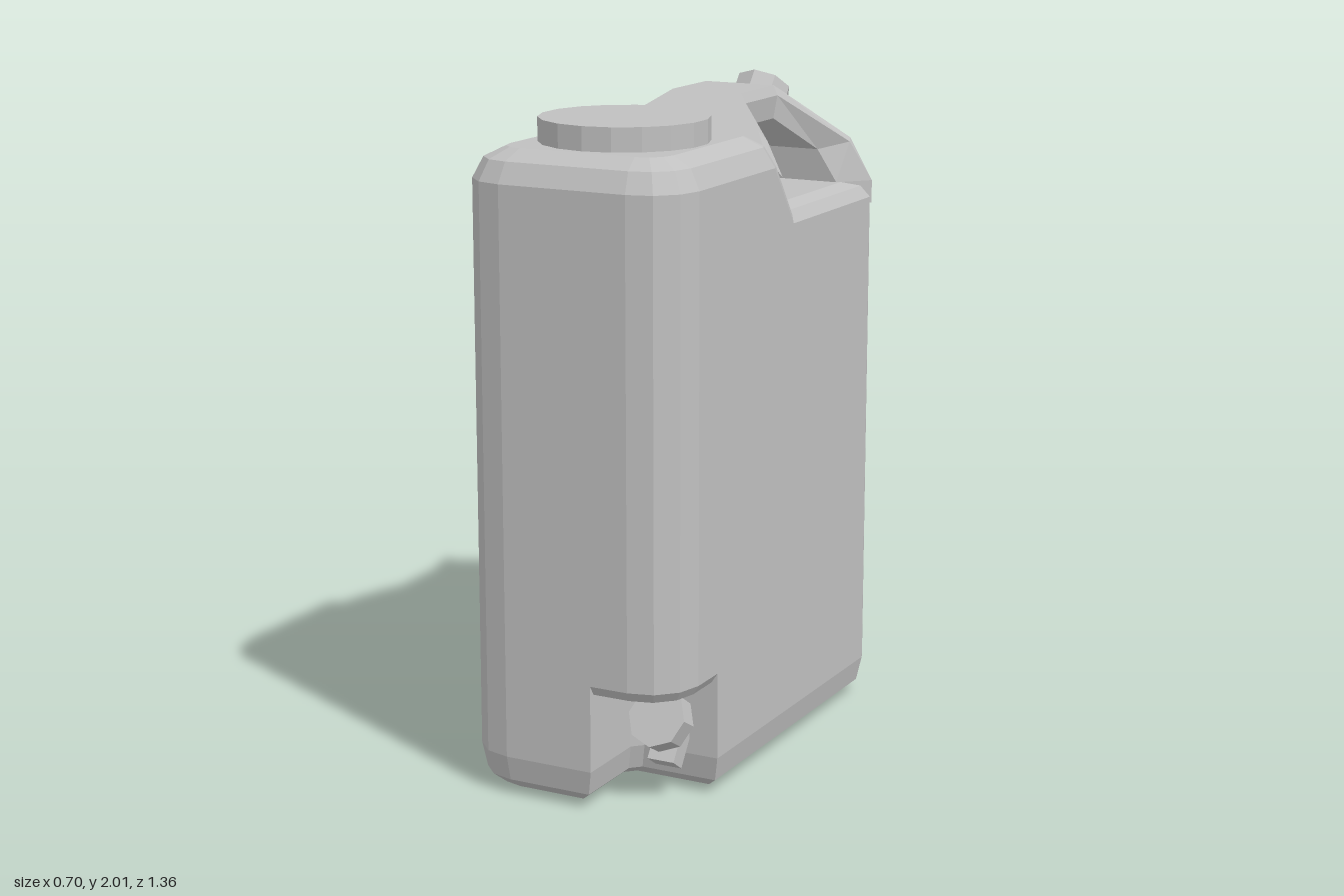
import * as THREE from 'three';

const plastic = new THREE.MeshStandardMaterial({ color: 0xc0c0c0 });
plastic.name = 'grey plastic';

// Faceted skin through rings of equal length, with optional flat ends
function loft(rings, capped = true) {
  const pos = [];
  const tri = (...pts) => pts.forEach((p) => pos.push(p.x, p.y, p.z));
  for (let k = 0; k < rings.length - 1; k++) {
    const a = rings[k], b = rings[k + 1], n = a.length;
    for (let i = 0; i < n; i++) {
      const j = (i + 1) % n;
      tri(a[i], a[j], b[j]);
      tri(a[i], b[j], b[i]);
    }
  }
  if (capped) {
    const flat = (ring) => THREE.ShapeUtils.triangulateShape(ring.map((p) => new THREE.Vector2(p.x, -p.z)), []);
    const low = rings[0], top = rings[rings.length - 1];
    flat(low).forEach(([i, j, k]) => tri(low[k], low[j], low[i]));
    flat(top).forEach(([i, j, k]) => tri(top[i], top[j], top[k]));
  }
  const g = new THREE.BufferGeometry();
  g.setAttribute('position', new THREE.Float32BufferAttribute(pos, 3));
  g.computeVertexNormals();
  return g;
}

function facet(geometry) {
  const g = geometry.toNonIndexed();
  g.computeVertexNormals();
  return g;
}

// Horizontal outline of the can, shrunk by inset; the notch removes the front left corner
function outline(y, inset, { back = -0.68 + inset, notch = false } = {}) {
  const pts = [];
  const hx = 0.35 - inset, front = 0.68 - inset;
  const rf = Math.max(0.15 - inset * 0.8, 0.02), rb = Math.max(0.055 - inset * 0.4, 0.015);
  const corner = (x, z, r, start, n) => {
    for (let i = 0; i <= n; i++) {
      const a = (start + (i / n) * 90) * Math.PI / 180;
      pts.push(new THREE.Vector3(x + r * Math.cos(a), y, z - r * Math.sin(a)));
    }
  };
  corner(-hx + rf, front - rf, rf, 180, 3);
  if (notch) {
    const nx = 0.08 - inset, nz = 0.41 - inset;
    [[nx, front], [nx, nz + 0.03], [nx + 0.03, nz], [hx, nz]].forEach(([x, z]) => pts.push(new THREE.Vector3(x, y, z)));
  } else {
    corner(hx - rf, front - rf, rf, 270, 3);
  }
  corner(hx - rb, back + rb, rb, 0, 2);
  corner(-hx + rb, back + rb, rb, 90, 2);
  return pts;
}

export function createModel() {
  const model = new THREE.Group();
  const add = (name, geometry, parent = model) => {
    const mesh = new THREE.Mesh(geometry, plastic);
    mesh.name = name;
    parent.add(mesh);
    return mesh;
  };

  // Bottom with rounded rim and tap notch
  add('lowerBody', loft([[0, 0.09], [0.012, 0.055], [0.045, 0.015], [0.12, 0], [0.38, 0]]
    .map(([y, inset]) => outline(y, inset, { notch: true }))));

  // Main tank up to the low rear deck
  add('tank', loft([[0.35, 0.02], [0.38, 0], [1.62, 0], [1.655, 0.025], [1.67, 0.07]]
    .map(([y, inset]) => outline(y, inset))));

  // Raised front shoulder with a sloping back
  add('shoulder', loft([[1.62, 0, -0.13], [1.8, 0, 0], [1.86, 0.03, 0.03], [1.89, 0.09, 0.065]]
    .map(([y, inset, back]) => outline(y, inset, { back }))));

  // Handle arch: outer z, y, half width; inner z, y, half width; half width at the side ridge
  const stations = [
    [0.03, 1.82, 0.31, -0.09, 1.64, 0.3, 0.345],
    [-0.07, 1.885, 0.235, -0.11, 1.78, 0.24, 0.26],
    [-0.2, 1.975, 0.115, -0.2, 1.875, 0.12, 0.13],
    [-0.42, 1.975, 0.115, -0.41, 1.875, 0.12, 0.13],
    [-0.63, 1.8, 0.28, -0.54, 1.77, 0.21, 0.29],
    [-0.68, 1.67, 0.305, -0.55, 1.67, 0.27, 0.35],
    [-0.68, 1.6, 0.295, -0.55, 1.6, 0.27, 0.35],
  ];
  add('handle', loft(stations.map(([oz, oy, ow, iz, iy, iw, mw]) => {
    const mz = oz + (iz - oz) * 0.3, my = oy + (iy - oy) * 0.3;
    return [[-ow, oy, oz], [ow, oy, oz], [mw, my, mz], [iw, iy, iz], [-iw, iy, iz], [-mw, my, mz]]
      .map((p) => new THREE.Vector3(...p));
  }), false));

  // Wide filler lid
  add('fillerLid', facet(new THREE.CylinderGeometry(0.247, 0.247, 0.085, 18))).position.set(0, 1.9175, 0.315);

  // Tilted spout cap at the rear of the handle
  const spout = add('spoutCap', facet(new THREE.CylinderGeometry(0.087, 0.087, 0.17, 8)));
  spout.position.set(0, 1.885, -0.538);
  spout.rotation.x = -0.68;

  // Tap in the notch: tilted knob, stem and short outlet
  const tap = new THREE.Group();
  tap.name = 'tap';
  tap.position.set(0.217, 0.25, 0.507);
  tap.rotation.x = 1.05;
  model.add(tap);
  add('tapKnob', facet(new THREE.CylinderGeometry(0.09, 0.09, 0.068, 8)), tap);
  add('tapStem', facet(new THREE.CylinderGeometry(0.045, 0.045, 0.16, 8)), tap).position.y = -0.1;
  const outlet = add('tapOutlet', facet(new THREE.BoxGeometry(0.085, 0.15, 0.06)));
  outlet.position.set(0.217, 0.17, 0.445);
  outlet.rotation.x = -0.6;

  return model;
}
